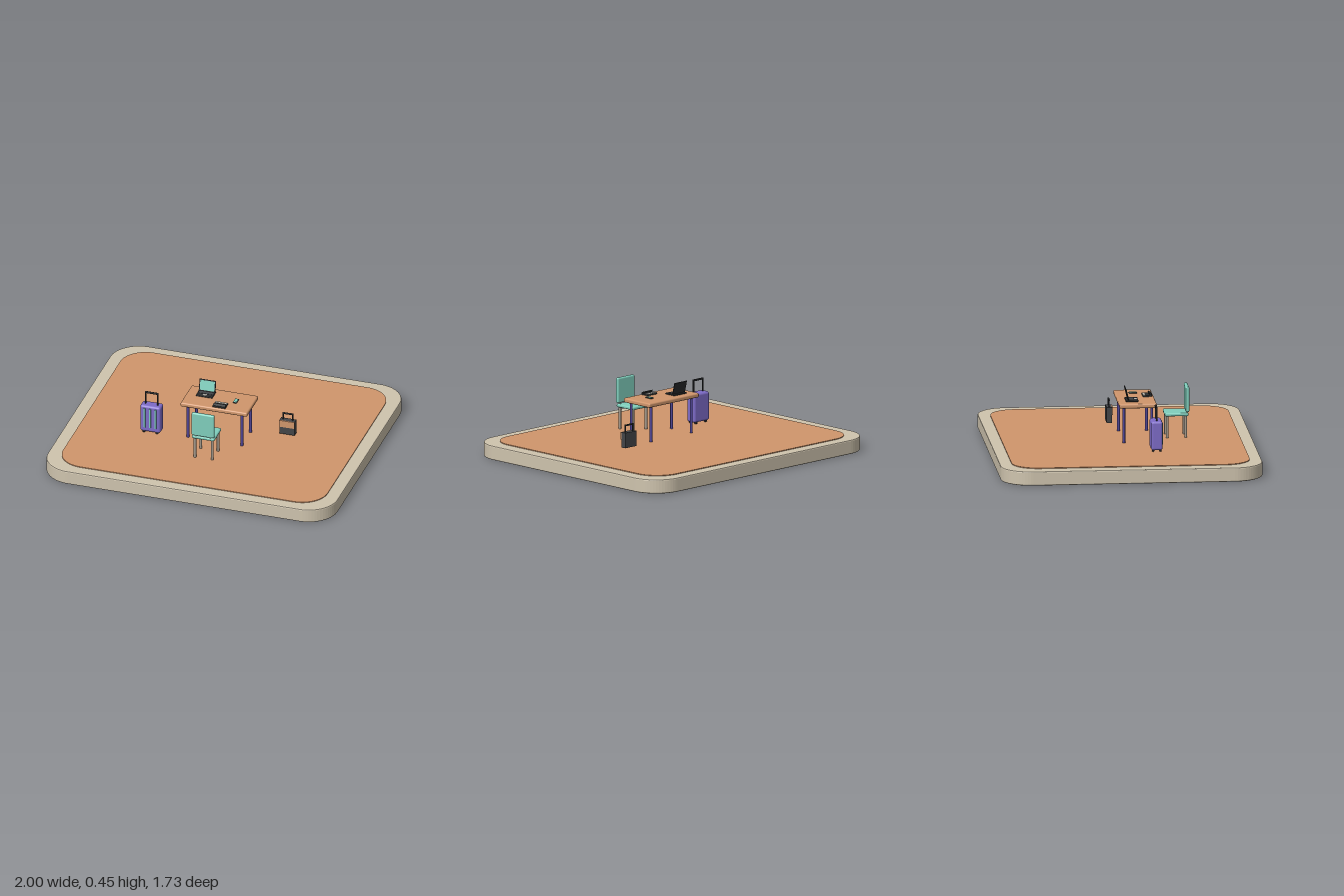
import * as THREE from 'three';
import { RoundedBoxGeometry } from 'three/addons/geometries/RoundedBoxGeometry.js';

const colour = (name, hex) => {
  const m = new THREE.MeshStandardMaterial({ color: hex });
  m.name = name;
  return m;
};

export function createModel() {
  const stone = colour('stone', 0xcfc4ae);
  const terracotta = colour('terracotta', 0xd0966c);
  const teal = colour('teal', 0x80cfbd);
  const purple = colour('purple', 0x7d6bc8);
  const indigo = colour('indigo', 0x4f4494);
  const black = colour('black', 0x2b2d2f);
  const charcoal = colour('charcoal', 0x434548);
  const grey = colour('grey', 0xbdb9b0);
  const taupe = colour('taupe', 0xa3988a);

  const model = new THREE.Group();
  model.name = 'workspace';

  const group = (name, x = 0, y = 0, z = 0) => {
    const g = new THREE.Group();
    g.name = name;
    g.position.set(x, y, z);
    model.add(g);
    return g;
  };
  const add = (parent, name, geometry, material, x = 0, y = 0, z = 0) => {
    const m = new THREE.Mesh(geometry, material);
    m.name = name;
    m.position.set(x, y, z);
    parent.add(m);
    return m;
  };
  const box = (w, h, d) => new THREE.BoxGeometry(w, h, d);
  const soft = (w, h, d, r) => new RoundedBoxGeometry(w, h, d, 3, r);

  // Horizontal slab with rounded corners, standing on y = 0
  const slab = (w, d, h, r, bevel) => {
    const a = w / 2 - bevel, b = d / 2 - bevel, q = r - bevel;
    const s = new THREE.Shape();
    s.absarc(a - q, b - q, q, 0, Math.PI / 2);
    s.absarc(-a + q, b - q, q, Math.PI / 2, Math.PI);
    s.absarc(-a + q, -b + q, q, Math.PI, Math.PI * 1.5);
    s.absarc(a - q, -b + q, q, Math.PI * 1.5, Math.PI * 2);
    return new THREE.ExtrudeGeometry(s, {
      depth: h - 2 * bevel, bevelEnabled: bevel > 0, bevelSize: bevel,
      bevelThickness: bevel, bevelSegments: 2, curveSegments: 8,
    }).rotateX(-Math.PI / 2).translate(0, bevel, 0);
  };

  // Four round legs at the corners of a rectangle
  const legs = (parent, name, x, z, r, y0, y1, material) => {
    for (const sx of [-1, 1]) for (const sz of [-1, 1])
      add(parent, name, new THREE.CylinderGeometry(r, r, y1 - y0, 12), material, sx * x, (y0 + y1) / 2, sz * z);
  };

  // Upright pull handle: two posts and a grip
  const handle = (parent, width, y0, y1, t, z) => {
    for (const s of [-1, 1])
      add(parent, 'handlePost', box(t, y1 - y0, t), black, s * (width - t) / 2, (y0 + y1) / 2, z);
    add(parent, 'handleGrip', soft(width, t * 1.5, t * 1.5, t * 0.4), black, 0, y1 - t * 0.75, z);
  };

  // Floor
  const floor = group('floor');
  add(floor, 'platform', slab(2, 1.726, 0.095, 0.2, 0.008), stone);
  add(floor, 'carpet', slab(1.826, 1.57, 0.009, 0.175, 0), terracotta, 0, 0.091, 0);

  // Desk
  const desk = group('desk', 0, 0, 0.1);
  add(desk, 'deskTop', soft(0.46, 0.03, 0.246, 0.01), terracotta, 0, 0.352, 0);
  legs(desk, 'deskLeg', 0.186, 0.092, 0.0095, 0.1, 0.342, indigo);

  // Chair with its back toward the front
  const chair = group('chair', -0.002, 0, 0.367);
  add(chair, 'seat', soft(0.156, 0.022, 0.156, 0.009), teal, 0, 0.257, 0);
  add(chair, 'backrest', soft(0.156, 0.17, 0.024, 0.01), teal, 0, 0.357, 0.072);
  legs(chair, 'chairLeg', 0.06, 0.061, 0.009, 0.1, 0.25, taupe);
  for (const s of [-1, 1])
    add(chair, 'backSupport', box(0.012, 0.03, 0.01), taupe, s * 0.05, 0.269, 0.07);

  // Suitcase
  const suitcase = group('suitcase', -0.435, 0, 0.197);
  add(suitcase, 'shell', soft(0.142, 0.194, 0.076, 0.016), purple, 0, 0.209, 0);
  for (const x of [-0.038, 0, 0.038])
    add(suitcase, 'stripe', box(0.013, 0.142, 0.006), teal, x, 0.217, 0.039);
  for (const x of [-0.045, 0.045]) for (const z of [-0.024, 0.024])
    add(suitcase, 'wheel', new THREE.CylinderGeometry(0.008, 0.008, 0.014, 12).rotateZ(Math.PI / 2), black, x, 0.109, z);
  handle(suitcase, 0.092, 0.3, 0.396, 0.008, 0);

  // Small travel bag
  const bag = group('bag', 0.43, 0, -0.034);
  add(bag, 'bagBody', box(0.104, 0.102, 0.036), charcoal, 0, 0.163, 0);
  add(bag, 'bagFlap', box(0.104, 0.048, 0.007), terracotta, 0, 0.19, 0.0215);
  handle(bag, 0.072, 0.21, 0.265, 0.007, 0);

  // Laptop
  const laptop = group('laptop', -0.103, 0.367, 0);
  add(laptop, 'laptopBase', soft(0.114, 0.009, 0.084, 0.003), black, 0, 0.0045, 0.066);
  add(laptop, 'keyboard', box(0.096, 0.002, 0.034), charcoal, 0, 0.0095, 0.06);
  add(laptop, 'trackpad', box(0.026, 0.002, 0.018), grey, 0, 0.0095, 0.091);
  const lid = new THREE.Group();
  lid.name = 'laptopLid';
  lid.position.set(0, 0.007, 0.043);
  lid.rotation.x = -0.24;
  laptop.add(lid);
  add(lid, 'lidShell', soft(0.114, 0.082, 0.007, 0.003), black, 0, 0.041, 0);
  add(lid, 'screen', box(0.1, 0.068, 0.002), teal, 0, 0.042, 0.0035);

  // Notebook with a pale page strip and a raised rest
  const notebook = group('notebook', 0.033, 0.367, 0.178);
  add(notebook, 'notebookCover', box(0.086, 0.01, 0.06), black, 0, 0.005, 0.002);
  add(notebook, 'pageStrip', box(0.084, 0.003, 0.016), grey, 0, 0.0105, -0.02);
  add(notebook, 'rest', box(0.084, 0.008, 0.02), black, 0, 0.014, 0.022).rotation.x = 0.5;

  // Phone
  const phone = group('phone', 0.113, 0.367, 0.095);
  add(phone, 'phoneBody', soft(0.027, 0.007, 0.054, 0.003), black, 0, 0.0035, 0);
  add(phone, 'phoneScreen', box(0.021, 0.002, 0.046), teal, 0, 0.007, 0);

  return model;
}
